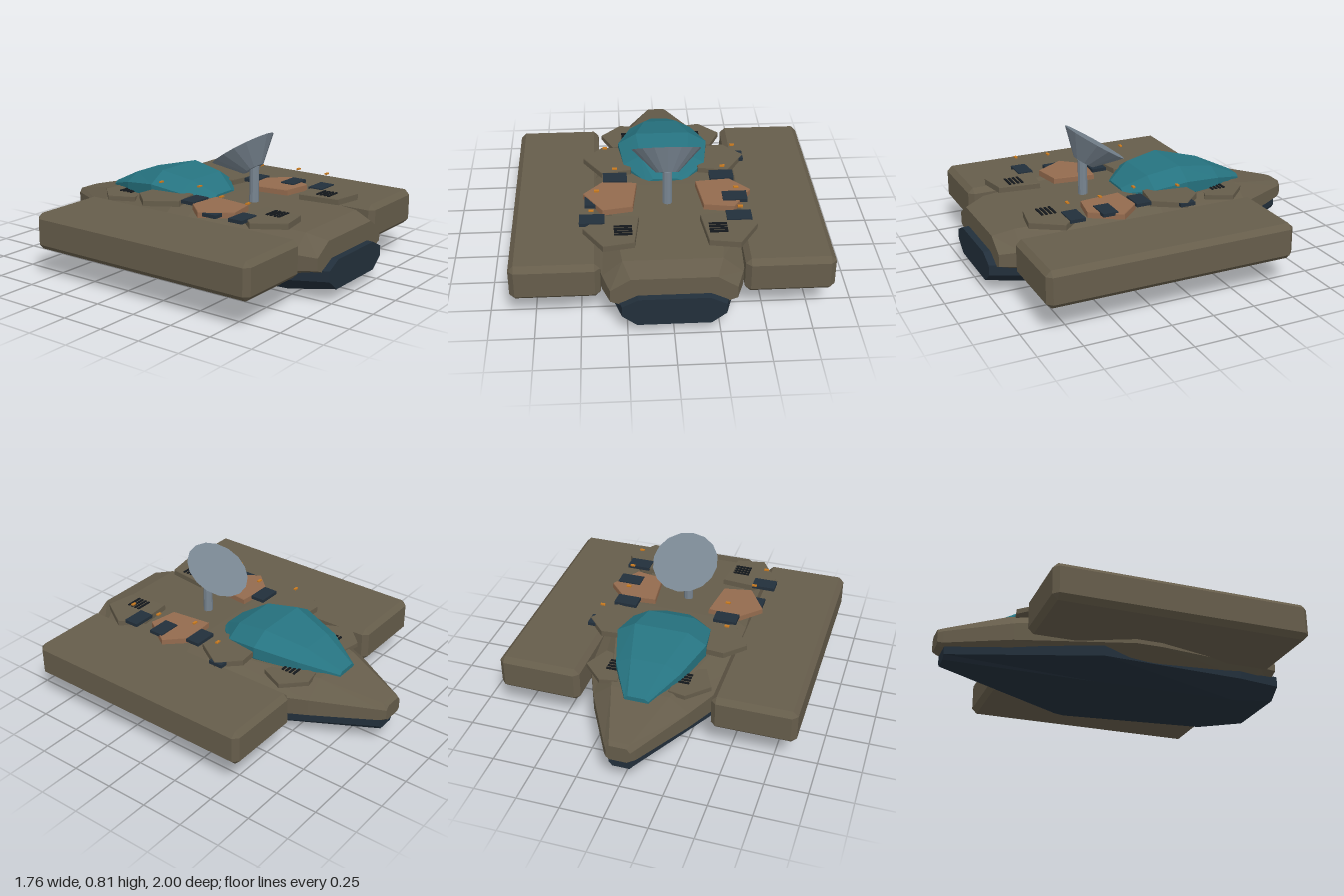
import * as THREE from 'three';
import { ConvexGeometry } from 'three/addons/geometries/ConvexGeometry.js';

const mat = (name, color) => {
  const m = new THREE.MeshStandardMaterial({ color });
  m.name = name;
  return m;
};

// Gives every face its own flat normal
function faceted(geo) {
  const g = geo.index ? geo.toNonIndexed() : geo;
  g.computeVertexNormals();
  return g;
}

// Lofts octagonal sections, ordered from front (+z) to back (-z).
// Section: [z, topHalfWidth, topY, sideHalfWidth, sideHighY, sideLowY, bottomHalfWidth, bottomY]
function loft(sections) {
  const pos = [], idx = [], n = 8;
  for (const [z, wt, yt, ws, yh, yl, wb, yb] of sections) {
    const ring = [[wb, yb], [ws, yl], [ws, yh], [wt, yt], [-wt, yt], [-ws, yh], [-ws, yl], [-wb, yb]];
    for (const [x, y] of ring) pos.push(x, y, z);
  }
  const last = (sections.length - 1) * n;
  for (let i = 0; i < last; i += n) {
    for (let j = 0; j < n; j++) {
      const k = (j + 1) % n;
      idx.push(i + j, i + n + j, i + k, i + k, i + n + j, i + n + k);
    }
  }
  for (let j = 1; j < n - 1; j++) idx.push(0, j, j + 1, last, last + j + 1, last + j);
  const g = new THREE.BufferGeometry();
  g.setAttribute('position', new THREE.Float32BufferAttribute(pos, 3));
  g.setIndex(idx);
  return faceted(g);
}

// Box with cut edges and corners
function chamferBox(w, h, d, c) {
  const pts = [];
  for (const x of [-1, 1]) for (const y of [-1, 1]) for (const z of [-1, 1]) {
    const a = x * w / 2, b = y * h / 2, e = z * d / 2;
    pts.push(new THREE.Vector3(a, b - y * c, e - z * c),
      new THREE.Vector3(a - x * c, b, e - z * c),
      new THREE.Vector3(a - x * c, b - y * c, e));
  }
  return new ConvexGeometry(pts);
}

// Flat slab from an x/z outline, mirrored by side
function slab(outline, side, y0, y1) {
  const pts = [];
  for (const [x, z] of outline) {
    pts.push(new THREE.Vector3(side * x, y0, z), new THREE.Vector3(side * x, y1 - 0.005, z));
    pts.push(new THREE.Vector3(side * (0.325 + (x - 0.325) * 0.98), y1, z));
  }
  return new ConvexGeometry(pts);
}

export function createModel() {
  const root = new THREE.Group();
  root.name = 'hovercraft';
  const olive = mat('olive hull', 0x665d4b);
  const navy = mat('dark navy', 0x222f3b);
  const teal = mat('teal glass', 0x267380);
  const rust = mat('copper armour', 0x946b4e);
  const steel = mat('steel grey', 0x788591);
  const amber = mat('amber light', 0xc87a20);
  const black = mat('vent black', 0x14181c);

  const add = (name, geo, material, x = 0, y = 0, z = 0) => {
    const m = new THREE.Mesh(geo, material);
    m.name = name;
    m.position.set(x, y, z);
    root.add(m);
    return m;
  };

  // Hull, keel and canopy
  add('upperHull', loft([
    [0.96, 0.23, 0.34, 0.34, 0.27, 0.20, 0.24, 0.16],
    [0.84, 0.27, 0.375, 0.38, 0.28, 0.19, 0.28, 0.14],
    [0.15, 0.35, 0.408, 0.55, 0.27, 0.14, 0.43, 0.095],
    [0.00, 0.35, 0.408, 0.55, 0.27, 0.14, 0.43, 0.095],
    [-0.62, 0.17, 0.37, 0.28, 0.28, 0.18, 0.20, 0.135],
    [-0.97, 0.06, 0.29, 0.09, 0.26, 0.19, 0.06, 0.175],
    [-1.00, 0.05, 0.28, 0.07, 0.255, 0.20, 0.05, 0.185],
  ]), olive);
  add('lowerHull', loft([
    [1.00, 0.19, 0.235, 0.28, 0.19, 0.13, 0.20, 0.068],
    [0.72, 0.22, 0.235, 0.36, 0.18, 0.11, 0.24, 0.022],
    [-0.15, 0.26, 0.22, 0.46, 0.14, 0.08, 0.28, 0],
    [-0.96, 0.05, 0.20, 0.07, 0.18, 0.13, 0.05, 0.105],
  ]), navy);
  add('canopy', loft([
    [0.11, 0.07, 0.42, 0.11, 0.40, 0.36, 0.09, 0.35],
    [-0.03, 0.14, 0.50, 0.24, 0.44, 0.38, 0.22, 0.35],
    [-0.23, 0.16, 0.535, 0.268, 0.47, 0.40, 0.24, 0.35],
    [-0.48, 0.10, 0.478, 0.19, 0.43, 0.37, 0.18, 0.35],
    [-0.69, 0.05, 0.38, 0.07, 0.365, 0.345, 0.06, 0.33],
  ]), teal);

  // Side pods
  for (const s of [-1, 1]) {
    add(s > 0 ? 'leftPod' : 'rightPod', chamferBox(0.49, 0.212, 1.465, 0.03), olive, s * 0.634, 0.27, 0.155);
  }

  // Armour plates along both edges of the deck
  const hex = [[0.17, -0.125], [0.37, -0.143], [0.48, -0.025], [0.37, 0.15], [0.2, 0.12]];
  const rearHex = [[0.15, -0.58], [0.25, -0.6], [0.37, -0.48], [0.3, -0.33], [0.16, -0.38]];
  for (const s of [-1, 1]) {
    for (const [z, m] of [[0.645, olive], [0.3, rust], [-0.09, olive]]) {
      add('armourPlate', slab(hex.map(([x, dz]) => [x, z + dz]), s, 0.405, 0.44), m);
    }
    add('rearArmourPlate', slab(rearHex, s, 0.355, 0.383), olive);

    // Vent slats
    for (let i = 0; i < 4; i++) {
      add('frontVentSlat', new THREE.BoxGeometry(0.1, 0.008, 0.013), black, s * 0.26, 0.442, 0.615 + i * 0.025);
      add('rearVentSlat', new THREE.BoxGeometry(0.09, 0.008, 0.013), black, s * 0.2, 0.385, -0.49 + i * 0.025);
    }
  }

  // Equipment pads, each with a small light hovering above
  const pads = [
    [-0.35, -0.12, 0.425], [0.41, -0.12, 0.425], [-0.295, 0.115, 0.437], [0.328, 0.115, 0.437],
    [-0.4, 0.345, 0.425], [0.382, 0.345, 0.437], [-0.43, 0.54, 0.437], [0.385, 0.54, 0.437],
  ];
  for (const [x, z, y] of pads) {
    add('equipmentPad', new THREE.BoxGeometry(0.14, 0.02, 0.09), navy, x, y, z);
    add('markerLight', new THREE.BoxGeometry(0.028, 0.008, 0.015), amber, x, 0.525, z + 0.035);
  }

  // Dish on its mast, tilted toward the back
  add('dishMast', faceted(new THREE.CylinderGeometry(0.028, 0.028, 0.24, 10)), steel, 0, 0.49, 0.32);
  const dish = add('dish', faceted(new THREE.CylinderGeometry(0.197, 0.065, 0.133, 16)), steel, 0, 0.648, 0.276);
  dish.rotation.x = -0.577;

  return root;
}
